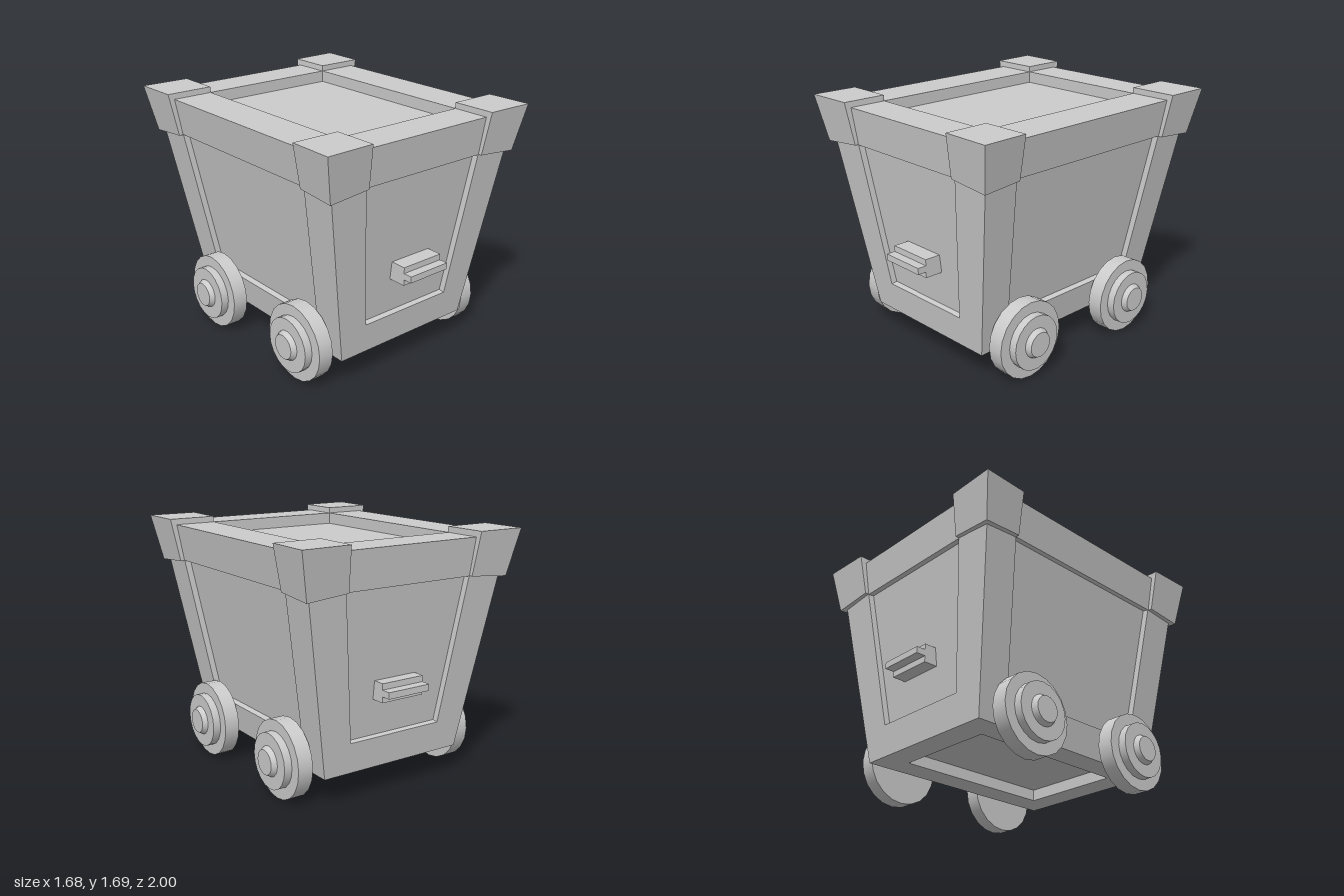
import * as THREE from 'three';

const grey = () => new THREE.MeshStandardMaterial({ color: 0xcccccc, flatShading: true });
const smooth = () => new THREE.MeshStandardMaterial({ color: 0xcccccc });

// Tapered body: half-width and half-depth at a given height
const Y0 = 0.197, Y1 = 1.65;
const halfX = (y) => THREE.MathUtils.mapLinear(y, Y0, Y1, 0.535, 0.787);
const halfZ = (y) => THREE.MathUtils.mapLinear(y, Y0, Y1, 0.77, 0.944);
const V = (x, y, z) => new THREE.Vector3(x, y, z);

function add(parent, name, geometry, material) {
  const mesh = new THREE.Mesh(geometry, material);
  mesh.name = name;
  parent.add(mesh);
  return mesh;
}

// A face with a border and a sunken panel; corners run counter-clockwise seen from outside
function insetFace(outer, inner, depth) {
  const normal = outer[1].clone().sub(outer[0]).cross(outer[3].clone().sub(outer[0])).normalize();
  const sunk = inner.map((p) => p.clone().addScaledVector(normal, -depth));
  const pos = [];
  const quad = (a, b, c, d) => [a, b, c, a, c, d].forEach((p) => pos.push(p.x, p.y, p.z));
  for (let i = 0; i < 4; i++) {
    const j = (i + 1) % 4;
    quad(outer[i], outer[j], inner[j], inner[i]);
    quad(inner[i], inner[j], sunk[j], sunk[i]);
  }
  quad(...sunk);
  const g = new THREE.BufferGeometry();
  g.setAttribute('position', new THREE.Float32BufferAttribute(pos, 3));
  g.computeVertexNormals();
  return g;
}

// Corners of a level rectangle, wound to face up
const level = (x, y, z) => [V(-x, y, z), V(x, y, z), V(x, y, -z), V(-x, y, -z)];

function buildBody() {
  const body = new THREE.Group();
  body.name = 'body';
  const wallDepth = 0.042, floorDepth = 0.08, lo = 0.407, hi = 1.398;
  for (const s of [1, -1]) {
    // front and back walls
    const zWall = (y, x, e) => V(s * e * x, y, s * halfZ(y));
    add(body, s > 0 ? 'frontWall' : 'backWall', insetFace(
      [zWall(Y0, halfX(Y0), -1), zWall(Y0, halfX(Y0), 1), zWall(Y1, halfX(Y1), 1), zWall(Y1, halfX(Y1), -1)],
      [zWall(lo, 0.355, -1), zWall(lo, 0.355, 1), zWall(hi, 0.48, 1), zWall(hi, 0.48, -1)], wallDepth), grey());
    // side walls
    const xWall = (y, z, e) => V(s * halfX(y), y, -s * e * z);
    add(body, s > 0 ? 'leftWall' : 'rightWall', insetFace(
      [xWall(Y0, halfZ(Y0), -1), xWall(Y0, halfZ(Y0), 1), xWall(Y1, halfZ(Y1), 1), xWall(Y1, halfZ(Y1), -1)],
      [xWall(lo, 0.573, -1), xWall(lo, 0.573, 1), xWall(hi, 0.665, 1), xWall(hi, 0.665, -1)], wallDepth), grey());
  }
  add(body, 'topRim', insetFace(level(halfX(Y1), Y1, halfZ(Y1)), level(0.5, Y1, 0.68), floorDepth), grey());
  add(body, 'underside', insetFace(
    level(halfX(Y0), Y0, halfZ(Y0)).reverse(), level(0.355, Y0, 0.585).reverse(), floorDepth), grey());
  return body;
}

// Flared block capping one corner post
function cornerCap(sx, sz) {
  const g = new THREE.BoxGeometry(2, 2, 2);
  const p = g.attributes.position;
  // keyed by outer x, top, outer z
  const corners = {
    '111': [0.84, 1.69, 1], '011': [0.5, 1.69, 0.99], '110': [0.832, 1.69, 0.68], '010': [0.5, 1.69, 0.68],
    '101': [0.775, 1.375, 0.945], '001': [0.48, 1.4, 0.9405], '100': [0.772, 1.395, 0.668], '000': [0.5, 1.4, 0.68],
  };
  for (let i = 0; i < p.count; i++) {
    const key = [p.getX(i) * sx, p.getY(i), p.getZ(i) * sz].map((v) => (v > 0 ? 1 : 0)).join('');
    const [x, y, z] = corners[key];
    p.setXYZ(i, sx * x, y, sz * z);
  }
  g.computeVertexNormals();
  return g;
}

// Stepped wheel with hub and bevelled axle end, pointing along +x
function buildWheel(name) {
  const wheel = new THREE.Group();
  wheel.name = name;
  const disc = (part, rOut, rIn, x0, x1) => {
    const g = new THREE.CylinderGeometry(rOut, rIn, x1 - x0, 20);
    g.rotateZ(-Math.PI / 2).translate((x0 + x1) / 2, 0, 0);
    add(wheel, part, g, smooth());
  };
  disc('tyre', 0.264, 0.264, 0, 0.106);
  disc('hub', 0.188, 0.188, 0.1, 0.16);
  disc('axleEnd', 0.084, 0.105, 0.155, 0.194);
  return wheel;
}

export function createModel() {
  const cart = new THREE.Group();
  cart.name = 'cart';
  cart.add(buildBody());

  for (const sx of [1, -1]) for (const sz of [1, -1]) {
    add(cart, 'cornerCap', cornerCap(sx, sz), grey());
    const wheel = buildWheel('wheel');
    wheel.position.set(sx > 0 ? 0.586 : -0.594, sx > 0 ? 0.265 : 0.27, sz > 0 ? 0.488 : -0.453);
    if (sx < 0) wheel.rotation.y = Math.PI;
    cart.add(wheel);
  }

  // Stepped handles on the front and back panels
  for (const [name, s, base, tip] of [['frontHandle', 1, 0.91, 0.972], ['backHandle', -1, 0.88, 0.945]]) {
    const handle = new THREE.Group();
    handle.name = name;
    const slab = (part, h, z) => add(handle, part, new THREE.BoxGeometry(0.322, h, z - 0.76), grey())
      .position.set(0.016, 0.725, s * (z + 0.76) / 2);
    slab('handleBase', 0.126, base);
    slab('handleBar', 0.044, tip);
    cart.add(handle);
  }
  return cart;
}
